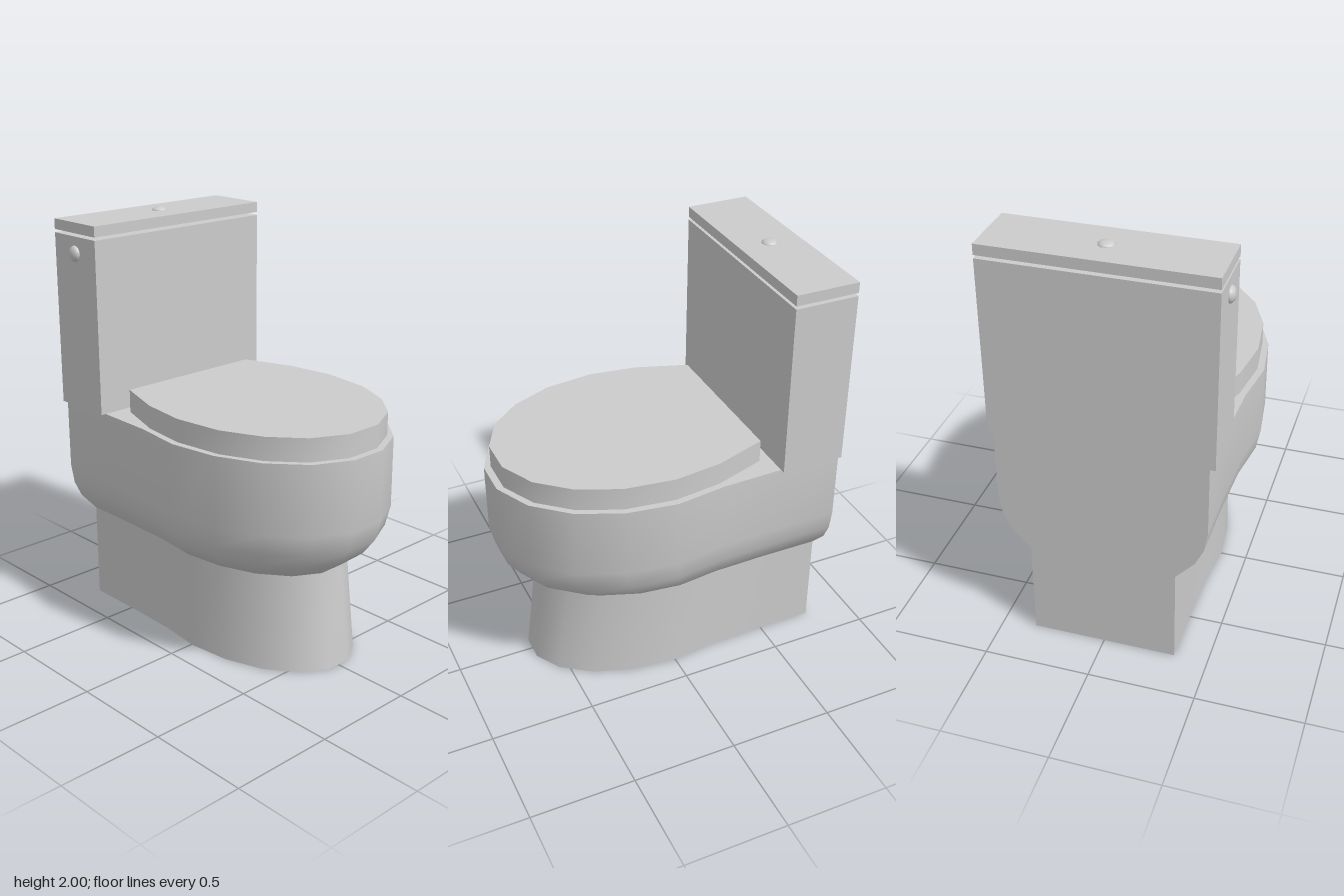
import * as THREE from 'three';
import { toCreasedNormals } from 'three/addons/utils/BufferGeometryUtils.js';

const BACK = -0.77, BEND = -0.47;

// Right half of each plan outline, from back to front: [x, z]
const BOWL = [[0.485, BACK], [0.485, BEND], [0.495, -0.17], [0.528, 0.07], [0.495, 0.31],
  [0.405, 0.52], [0.265, 0.68], [0.09, 0.765]];
const SEAT = [[0.38, -0.41], [0.465, -0.16], [0.495, 0.07], [0.465, 0.31],
  [0.38, 0.505], [0.255, 0.65], [0.09, 0.732]];

// Mirrors a half outline into a closed loop
const mirror = half => [...half, ...half.map(([x, z]) => [-x, z]).reverse()];

// Scales an outline in x and pulls its front to a given z, keeping the back in place
function section(half, y, scale, front) {
  const k = (front - BEND) / (half[half.length - 1][1] - BEND);
  return mirror(half).map(([x, z]) => [x * scale, y, z > BEND ? BEND + (z - BEND) * k : z]);
}

// Joins sections from bottom to top and caps both ends
function loft(rings, crease = 0.8) {
  const n = rings[0].length, pos = rings.flat(2), index = [];
  for (let r = 0; r < rings.length - 1; r++) {
    for (let i = 0; i < n; i++) {
      const j = (i + 1) % n, a = r * n + i, b = r * n + j;
      index.push(a, a + n, b, b, a + n, b + n);
    }
  }
  const top = (rings.length - 1) * n;
  for (let i = 0; i < n / 2 - 1; i++) {
    const a = i, b = i + 1, c = n - 2 - i, d = n - 1 - i;
    index.push(a, b, c, a, c, d);
    index.push(top + a, top + c, top + b, top + a, top + d, top + c);
  }
  const g = new THREE.BufferGeometry();
  g.setAttribute('position', new THREE.Float32BufferAttribute(pos, 3));
  g.setIndex(index);
  return toCreasedNormals(g, crease);
}

export function createModel() {
  const group = new THREE.Group();
  const material = new THREE.MeshStandardMaterial({ color: 0xcccccc });
  const add = (name, geometry, x = 0, y = 0, z = 0) => {
    const mesh = new THREE.Mesh(geometry, material);
    mesh.name = name;
    mesh.position.set(x, y, z);
    group.add(mesh);
    return mesh;
  };

  // Pedestal, flaring forward towards the floor
  add('pedestal', loft([section(BOWL, 0, 0.705, 0.62), section(BOWL, 0.475, 0.705, 0.56)]));

  // Bowl body, rounded underneath: [y, width scale, front z]
  const profile = [[0.475, 0.705, 0.56], [0.57, 0.885, 0.68], [0.65, 0.965, 0.74],
    [0.75, 1, 0.765], [1.09, 1, 0.765]];
  add('bowl', loft(profile.map(([y, s, f]) => section(BOWL, y, s, f))));

  // Closed seat cover
  add('seatCover', loft([1.09, 1.2].map(y => section(SEAT, y, 1, 0.732))));

  // Cistern with a recessed neck below its lid
  const depth = 0.305, tankZ = BACK + depth / 2;
  add('cistern', new THREE.BoxGeometry(1.02, 0.83, depth), 0, 1.505, tankZ);
  add('cisternNeck', new THREE.BoxGeometry(0.81, 0.02, 0.15), 0, 1.927, tankZ);
  add('cisternLid', new THREE.BoxGeometry(1.02, 0.05, depth), 0, 1.96, tankZ);

  // Flush button on the lid and round knob on the side
  const button = new THREE.SphereGeometry(0.038, 10, 8);
  add('flushButton', button, 0, 1.983, tankZ).scale.y = 0.45;
  add('sideKnob', button, -0.51, 1.84, tankZ).scale.x = 0.65;

  return group;
}
